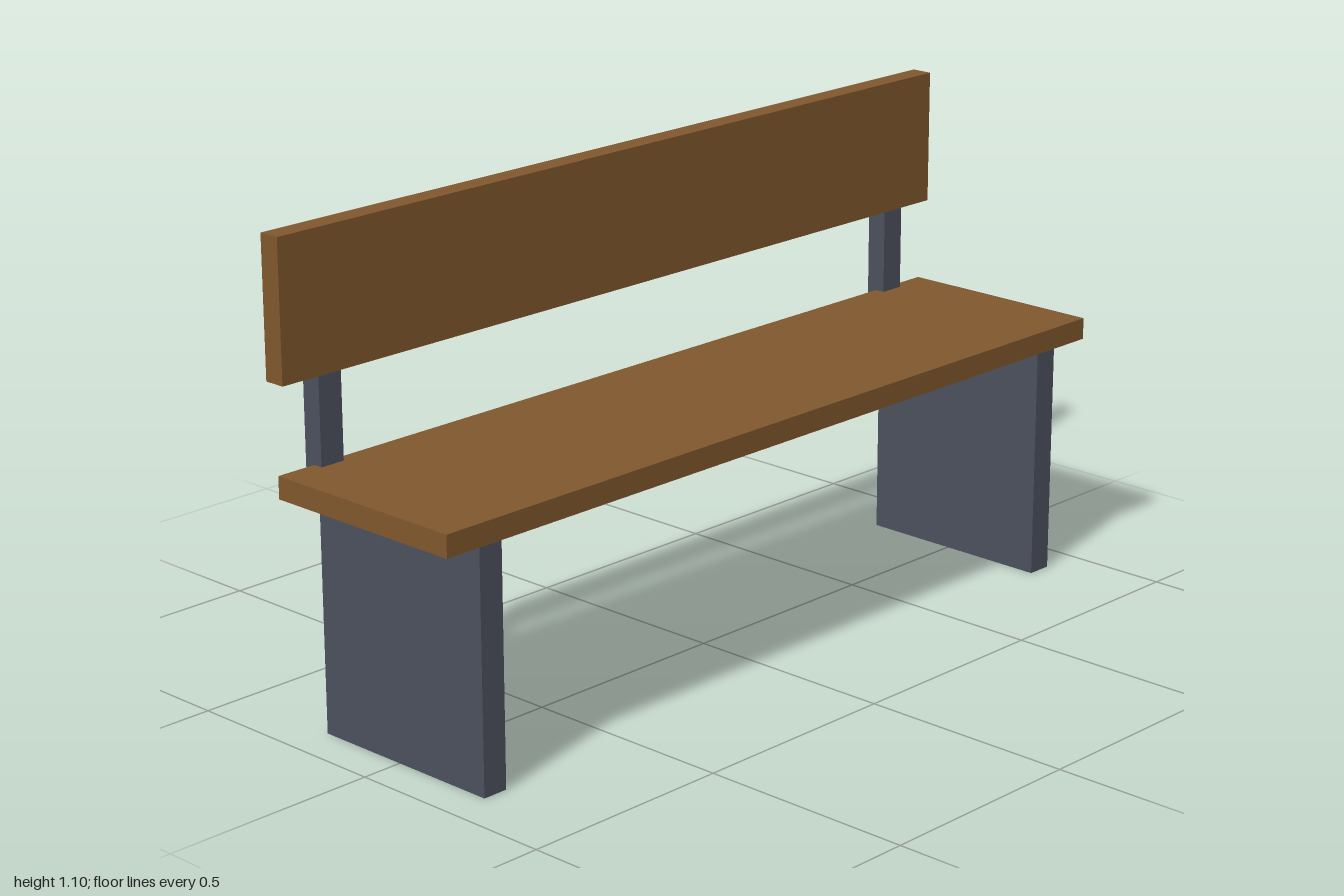
import * as THREE from 'three';

const wood = new THREE.MeshStandardMaterial({ color: 0x80572d });
wood.name = 'brown wood';
const metal = new THREE.MeshStandardMaterial({ color: 0x4c505e });
metal.name = 'slate grey';

// Box given by its lower and upper limits on each axis
function block(name, material, [x0, x1], [y0, y1], [z0, z1]) {
  const mesh = new THREE.Mesh(new THREE.BoxGeometry(x1 - x0, y1 - y0, z1 - z0), material);
  mesh.position.set((x0 + x1) / 2, (y0 + y1) / 2, (z0 + z1) / 2);
  mesh.name = name;
  return mesh;
}

export function createModel() {
  const bench = new THREE.Group();
  bench.name = 'bench';

  // Planks
  bench.add(block('seat', wood, [-1, 1], [0.54, 0.59], [-0.237, 0.263]));
  bench.add(block('backrest', wood, [-1, 1], [0.785, 1.095], [-0.263, -0.213]));

  // Slab legs and the posts that carry the backrest
  for (const [side, x] of [['left', 0.875], ['right', -0.875]]) {
    const span = [x - 0.03, x + 0.03];
    bench.add(block(side + 'Leg', metal, span, [0, 0.54], [-0.224, 0.253]));
    // The post top is let into the backrest, just inside its faces
    bench.add(block(side + 'BackPost', metal, span, [0.565, 0.94], [-0.262, -0.214]));
  }
  return bench;
}
